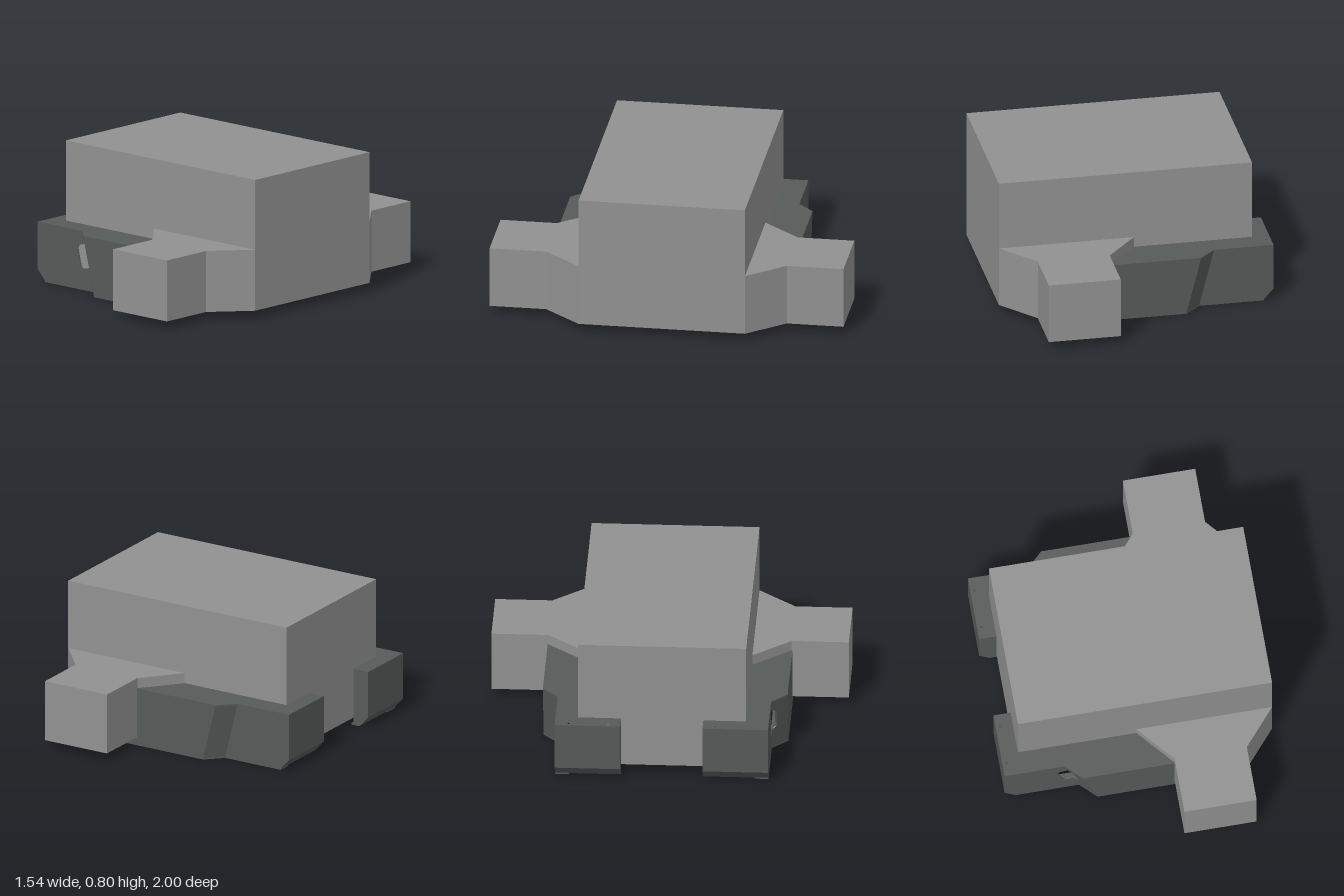
import * as THREE from 'three';

const grey = new THREE.MeshStandardMaterial({ color: 0x919191, flatShading: true });
const dark = new THREE.MeshStandardMaterial({ color: 0x565a58, flatShading: true });
const T = 0.01; // sheet thickness

const toShape = (pts) => new THREE.Shape(pts.map(([x, y]) => new THREE.Vector2(x, y)));

function add(parent, name, geometry, material) {
  const mesh = new THREE.Mesh(geometry, material);
  mesh.name = name;
  parent.add(mesh);
  return mesh;
}

// Outline in the xy plane, extruded from z0 to z1
function upright(shape, z0, z1) {
  const g = new THREE.ExtrudeGeometry(shape, { depth: z1 - z0, bevelEnabled: false });
  return g.translate(0, 0, z0);
}

// Outline in the xz plane, extruded from y0 to y1
function flat(shape, y0, y1) {
  const g = new THREE.ExtrudeGeometry(shape, { depth: y1 - y0, bevelEnabled: false });
  return g.rotateX(Math.PI / 2).translate(0, y1, 0);
}

// The wall has two slanted folds; u stays constant along each of them
const BEND0 = -0.43, BEND1 = -0.34, TOP = 0.34, LOW = 0.012;
const Z0 = 0.597, Z1 = 0.685;
const onFold = (u, y) => [u - 0.25 * (y - TOP), y];
const wallZ = (x, y) => {
  const u = x + 0.25 * (y - TOP);
  return THREE.MathUtils.mapLinear(THREE.MathUtils.clamp(u, BEND0, BEND1), BEND0, BEND1, Z0, Z1);
};

function wallPanel(pts, side) {
  const g = upright(toShape(pts), -T / 2, T / 2);
  const p = g.attributes.position;
  for (let i = 0; i < p.count; i++) {
    p.setZ(i, p.getZ(i) + side * (wallZ(p.getX(i), p.getY(i)) - T / 2));
  }
  g.computeVertexNormals();
  return g;
}

function createCover(side) {
  const cover = new THREE.Group();
  cover.name = side > 0 ? 'frontCover' : 'backCover';
  const plan = (pts) => toShape(pts.map(([x, z]) => [x, z * side]));
  const span = (a, b) => (side > 0 ? [a, b] : [-b, -a]);

  // Window cut across the first fold, on the front cover only
  const windowLeft = side < 0 ? [] : [
    [BEND0, 0.134], [-0.475, 0.124], [-0.488, 0.127], [-0.494, 0.142],
    [-0.494, 0.236], [-0.488, 0.249], [-0.475, 0.256], [BEND0, 0.268],
  ].map(([u, y]) => onFold(u, y));
  const windowRight = side < 0 ? [] : [
    [BEND0, 0.268], [-0.416, 0.271], [-0.405, 0.267], [-0.4, 0.255],
    [-0.4, 0.158], [-0.405, 0.145], [-0.416, 0.137], [BEND0, 0.134],
  ].map(([u, y]) => onFold(u, y));

  // Folded outer wall; its low tongue runs on under the side arm
  add(cover, 'outerWallEnd', wallPanel([
    [-0.77, 0.07], [-0.71, LOW], onFold(BEND0, LOW), ...windowLeft,
    onFold(BEND0, TOP), [-0.77, TOP],
  ], side), dark);
  add(cover, 'outerWallBend', wallPanel([
    onFold(BEND0, LOW), onFold(BEND1, LOW), onFold(BEND1, TOP), onFold(BEND0, TOP), ...windowRight,
  ], side), dark);
  add(cover, 'outerWallMain', wallPanel([
    onFold(BEND1, LOW), [0.375, LOW], [0.375, 0.05], [0.18, 0.05], [0.18, TOP], onFold(BEND1, TOP),
  ], side), dark);

  // Top plate with two small screw holes
  const top = plan([
    [-0.77, 0.23], [-0.672, 0.23], [-0.672, 0.47], [0, 0.47], [0.18, 0.68],
    [0.18, Z1], [BEND1, Z1], [BEND0, Z0], [-0.77, Z0],
  ]);
  for (const z of [0.3, 0.52]) {
    top.holes.push(new THREE.Path().absarc(-0.745, z * side, 0.006, 0, Math.PI * 2, true));
  }
  add(cover, 'topPlate', flat(top, TOP - T, TOP), dark);

  // End plate with chamfered foot
  add(cover, 'endPlate', upright(toShape([
    [-0.77, TOP], [-0.77, 0.07], [-0.712, 0.007], [-0.66, 0.007],
    [-0.66, 0.017], [-0.707, 0.017], [-0.76, 0.075], [-0.76, TOP],
  ]), ...span(0.23, Z0)), dark);

  // Return flange on the inner edge of the end plate
  add(cover, 'innerReturn', upright(toShape([
    [-0.77, 0.07], [-0.71, LOW], [-0.672, LOW], [-0.672, TOP], [-0.77, TOP],
  ]), ...span(0.23, 0.24)), dark);

  // Bottom flange
  add(cover, 'bottomFlange', flat(plan([
    [-0.715, 0.52], [-0.36, 0.52], [-0.26, 0.58], [0.375, 0.58], [0.375, Z1],
    [-0.258, Z1], [-0.348, Z0], [-0.715, Z0],
  ]), 0.002, LOW), dark);
  return cover;
}

export function createModel() {
  const model = new THREE.Group();
  model.name = 'machineHousing';

  // Main block
  add(model, 'mainBlock', new THREE.BoxGeometry(1.442, 0.75, 0.94), grey).position.set(0.049, 0.425, 0);

  for (const side of [1, -1]) {
    // Tapered side arm
    const arm = [[0, 0.47], [0.18, 0.68], [0.18, 1], [0.59, 1], [0.59, 0.68], [0.77, 0.47]];
    add(model, side > 0 ? 'frontArm' : 'backArm',
      flat(toShape(arm.map(([x, z]) => [x, z * side])), 0.05, 0.4), grey);
    // Sheet-metal cover
    model.add(createCover(side));
  }
  return model;
}
